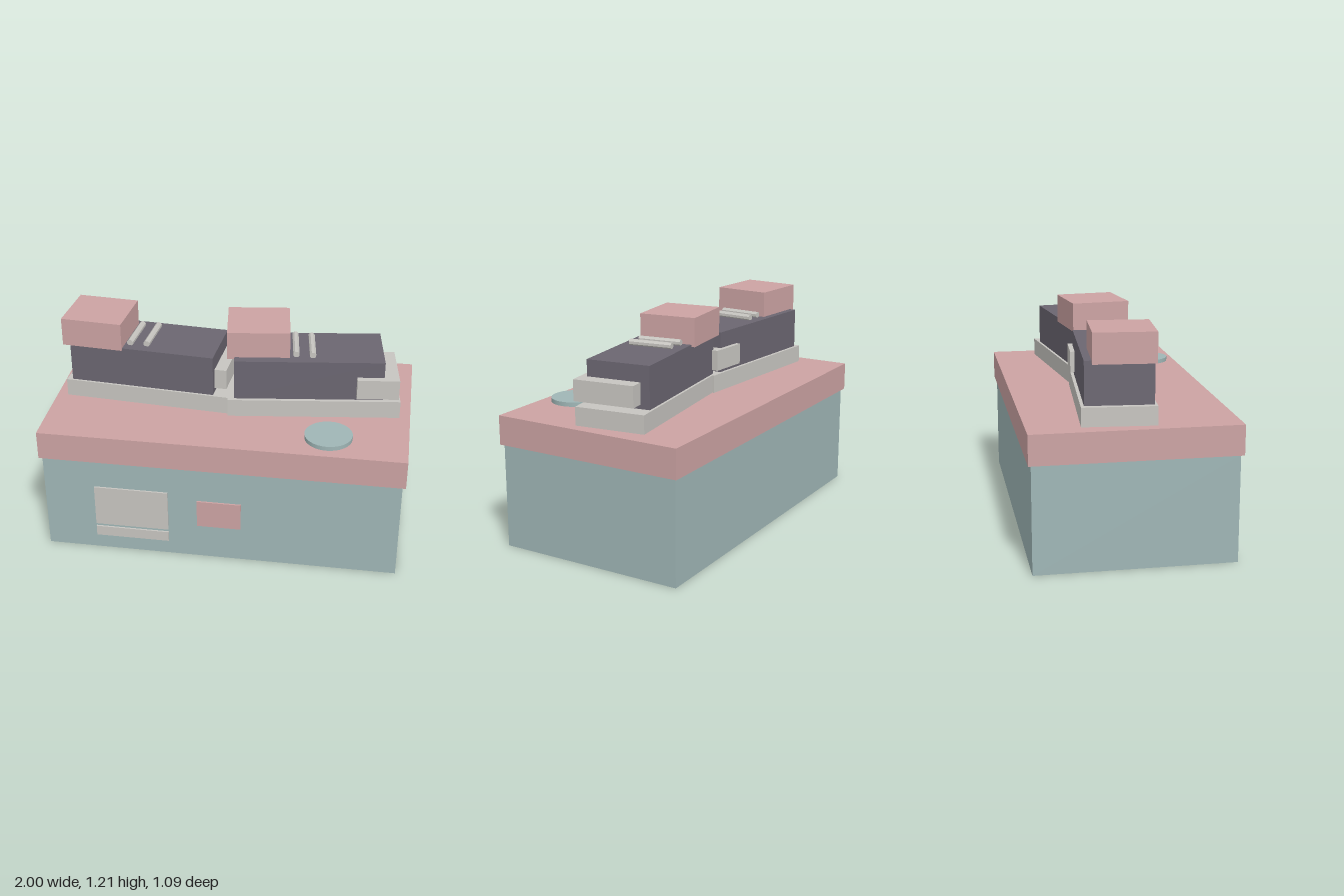
import * as THREE from 'three';

export function createModel() {
  const model = new THREE.Group();
  const mat = (name, color) => {
    const m = new THREE.MeshStandardMaterial({ color });
    m.name = name;
    return m;
  };
  const pink = mat('dusty pink', 0xcca3a3);
  const teal = mat('pale teal', 0x9fb6b6);
  const dark = mat('dark slate', 0x6b6671);
  const grey = mat('warm grey', 0xc7c5c0);

  function add(parent, name, geometry, material, x, y, z, turn = 0) {
    const mesh = new THREE.Mesh(geometry, material);
    mesh.name = name;
    mesh.position.set(x, y, z);
    mesh.rotation.y = turn;
    parent.add(mesh);
    return mesh;
  }
  // Box with its height given as a range from y0 to y1
  function box(parent, name, material, w, d, y0, y1, x, z, turn = 0) {
    return add(parent, name, new THREE.BoxGeometry(w, y1 - y0, d), material, x, (y0 + y1) / 2, z, turn);
  }

  // Cabinet and worktop
  box(model, 'cabinet', teal, 1.965, 1.064, 0, 0.577, 0, 0);
  box(model, 'worktop', pink, 2, 1.094, 0.577, 0.738, 0, 0);

  // Thin panels on the cabinet front
  const panels = [
    ['largePanel', grey, -0.7, -0.287, 0.165, 0.41],
    ['lowerStrip', grey, -0.7, -0.287, 0.087, 0.147],
    ['smallPanel', pink, -0.124, 0.12, 0.21, 0.372],
  ];
  for (const [name, m, x0, x1, y0, y1] of panels) {
    box(model, name, m, x1 - x0, 0.0099, y0, y1, (x0 + x1) / 2, 0.537);
  }

  // Round disc resting on the worktop
  add(model, 'disc', new THREE.CylinderGeometry(0.13, 0.13, 0.024, 32), teal, 0.57, 0.755, 0.367);

  // Two machines, each turned a little: x positions of plate, body, head, ribs and end block
  const machines = [
    { name: 'rightMachine', turn: -0.08, plate: [-0.457, 0.94, 0.385], body: -0.485, head: -0.765, ribs: [-0.56, -0.467], block: -0.122 },
    { name: 'leftMachine', turn: 0.125, plate: [0.445, 0.95, 0.39], body: 0.415, head: 0.135, ribs: [0.343, 0.434], block: 0.794 },
  ];
  const z = -0.042;
  for (const m of machines) {
    const g = new THREE.Group();
    g.name = m.name;
    model.add(g);
    const [px, pw, pd] = m.plate;
    box(g, 'basePlate', grey, pw, pd, 0.738, 0.838, px, z, m.turn);
    box(g, 'body', dark, 0.82, 0.355, 0.838, 1.067, m.body, z, m.turn);
    box(g, 'head', pink, 0.343, 0.323, 1.055, 1.214, m.head, z, m.turn);
    box(g, 'endBlock', grey, 0.23, 0.34, 0.862, 0.977, m.block, z - 0.003, m.turn);
    // Eight-sided ribs lying flat side up
    for (const x of m.ribs) {
      const rib = new THREE.CylinderGeometry(0.0185, 0.0185, 0.245, 8).toNonIndexed();
      rib.rotateY(Math.PI / 8).rotateX(Math.PI / 2);
      rib.computeVertexNormals();
      add(g, 'rib', rib, grey, x, 1.081, z, m.turn);
    }
  }
  return model;
}
